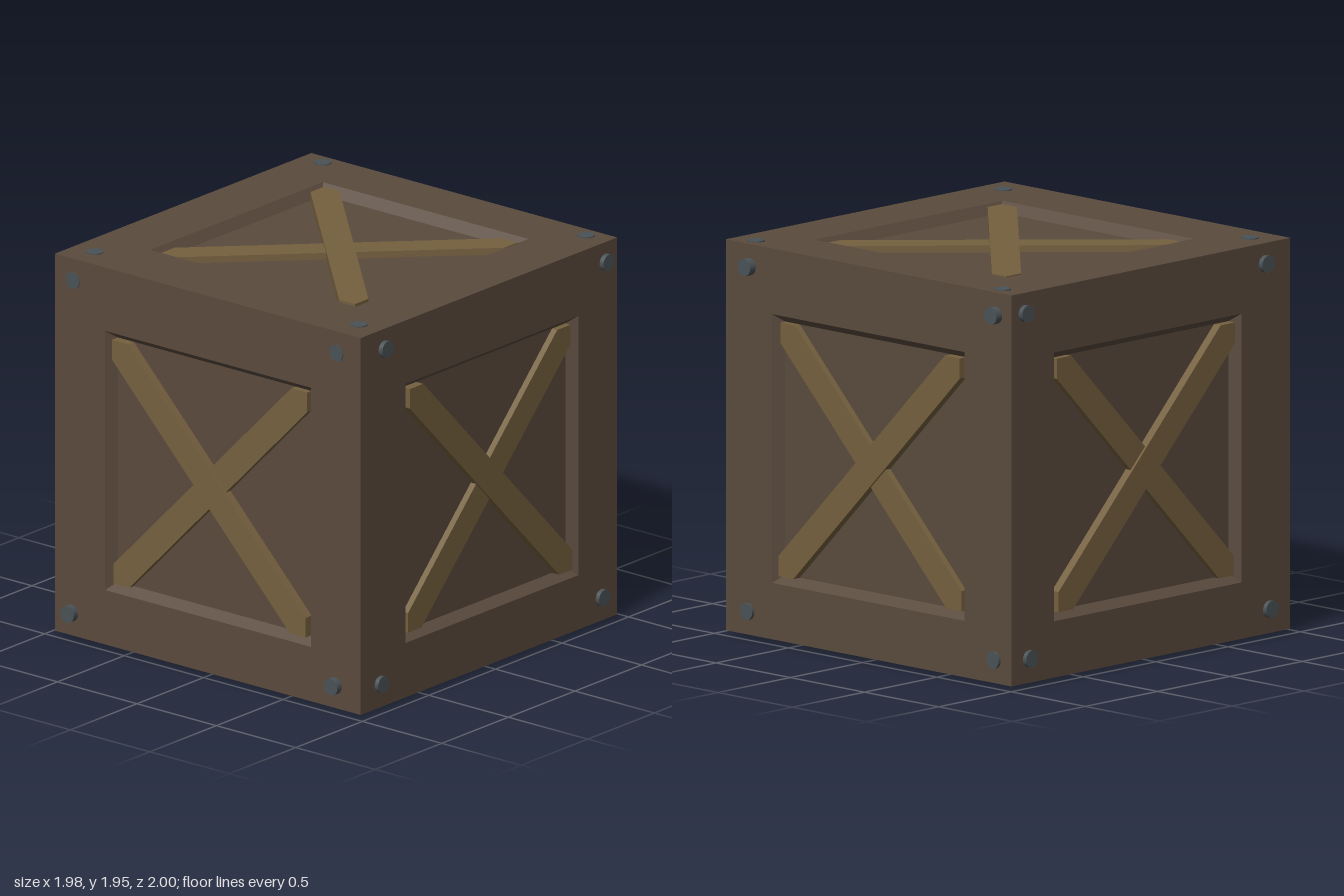
import * as THREE from 'three';

const V = (x, y, z) => new THREE.Vector3(x, y, z);
const HALF = 0.963;                  // half size of the cube
const CENTRE = V(-0.002, 0.978, 0.003);
const OPENING = V(0, 0.955, -0.02);  // middle of all the recessed panels
const OPEN_HALF = V(0.648, 0.662, 0.648);
const BEVEL = 0.038, DEPTH = 0.05;

const wood = new THREE.MeshStandardMaterial({ color: 0x5a4a3d, flatShading: true });
const slatWood = new THREE.MeshStandardMaterial({ color: 0x75603f, flatShading: true });
const iron = new THREE.MeshStandardMaterial({ color: 0x4a5256 });

// Each side: right and up axes, direction of the upper cross slat (-1 runs down to the right),
// slat height, and bolt head centres (the coordinate along the normal is the outer end)
const SIDES = [
  { name: 'front', u: V(1, 0, 0), v: V(0, 1, 0), slope: -1, slat: 0.045,
    bolts: [[-0.85, 1.83, 0.971], [0.81, 1.83, 0.971], [-0.86, 0.13, 1], [0.8, 0.13, 1]] },
  { name: 'back', u: V(-1, 0, 0), v: V(0, 1, 0), slope: 1, slat: 0.045,
    bolts: [[-0.86, 1.83, -1], [0.8, 1.83, -1], [-0.85, 0.13, -0.975], [0.81, 0.13, -0.975]] },
  { name: 'left', u: V(0, 0, -1), v: V(0, 1, 0), slope: -1, slat: 0.045,
    bolts: [[0.985, 1.84, 0.79], [0.985, 1.84, -0.87], [0.983, 0.135, 0.82], [0.983, 0.135, -0.84]] },
  { name: 'right', u: V(0, 0, 1), v: V(0, 1, 0), slope: 1, slat: 0.045,
    bolts: [[-0.99, 1.84, 0.79], [-0.99, 1.84, -0.87], [-0.988, 0.135, 0.82], [-0.988, 0.135, -0.84]] },
  { name: 'top', u: V(1, 0, 0), v: V(0, 0, -1), slope: -1, slat: 0.045,
    bolts: [[-0.83, 1.947, -0.885], [0.83, 1.947, -0.885], [-0.83, 1.947, 0.825], [0.83, 1.947, 0.825]] },
  { name: 'bottom', u: V(1, 0, 0), v: V(0, 0, 1), slope: -1, slat: 0.056,
    bolts: [[-0.83, 0, -0.85], [0.83, 0, -0.85], [-0.83, 0, 0.86], [0.83, 0, 0.86]] },
];

// Frame, bevel and sunken panel of one side, as nested rectangles
function panelGeometry(a, b, cu, cv) {
  const ring = (hu, hv, x, y, z) => [[-1, -1], [1, -1], [1, 1], [-1, 1]].map(([i, j]) => [x + i * hu, y + j * hv, z]);
  const rings = [
    ring(HALF, HALF, 0, 0, 0),
    ring(a, b, cu, cv, 0),
    ring(a - BEVEL, b - BEVEL, cu, cv, -DEPTH),
  ];
  const pos = [];
  const quad = (p, q, r, s) => pos.push(...p, ...q, ...r, ...p, ...r, ...s);
  for (let k = 0; k < 2; k++) {
    for (let i = 0; i < 4; i++) {
      const j = (i + 1) % 4;
      quad(rings[k][i], rings[k][j], rings[k + 1][j], rings[k + 1][i]);
    }
  }
  quad(...rings[2]);
  const g = new THREE.BufferGeometry();
  g.setAttribute('position', new THREE.Float32BufferAttribute(pos, 3));
  g.computeVertexNormals();
  return g;
}

// Diagonal slat whose ends are trimmed to fit the panel corners
function slatGeometry(a, b, slope, height) {
  const c = 0.1;
  const pts = [[-a, -b], [-a + c, -b], [a, b - c], [a, b], [a - c, b], [-a, -b + c]];
  const shape = new THREE.Shape(pts.map(([x, y]) => new THREE.Vector2(x, y * slope)));
  return new THREE.ExtrudeGeometry(shape, { depth: height, bevelEnabled: false });
}

export function createModel() {
  const model = new THREE.Group();
  model.name = 'crate';
  const boltGeo = new THREE.CylinderGeometry(0.042, 0.042, 0.1, 20).translate(0, -0.05, 0);

  for (const s of SIDES) {
    const n = s.u.clone().cross(s.v);
    const side = new THREE.Group();
    side.name = s.name + 'Side';
    side.quaternion.setFromRotationMatrix(new THREE.Matrix4().makeBasis(s.u, s.v, n));
    side.position.copy(CENTRE).addScaledVector(n, HALF);

    // Recessed panel and its surround
    const a = Math.abs(OPEN_HALF.dot(s.u)), b = Math.abs(OPEN_HALF.dot(s.v));
    const off = OPENING.clone().sub(CENTRE);
    const cu = off.dot(s.u), cv = off.dot(s.v);
    const panel = new THREE.Mesh(panelGeometry(a, b, cu, cv), wood);
    panel.name = 'framedPanel';
    side.add(panel);

    // Cross of two slats, one lying slightly higher
    for (const upper of [true, false]) {
      const slope = upper ? s.slope : -s.slope;
      const height = upper ? s.slat : s.slat - 0.012;
      const slat = new THREE.Mesh(slatGeometry(a - BEVEL, b - BEVEL, slope, height), slatWood);
      slat.name = upper ? 'upperSlat' : 'lowerSlat';
      slat.position.set(cu, cv, -DEPTH);
      side.add(slat);
    }
    model.add(side);

    // Corner bolts
    for (const p of s.bolts) {
      const bolt = new THREE.Mesh(boltGeo, iron);
      bolt.name = s.name + 'Bolt';
      bolt.position.set(...p);
      bolt.quaternion.setFromUnitVectors(V(0, 1, 0), n);
      model.add(bolt);
    }
  }
  return model;
}
